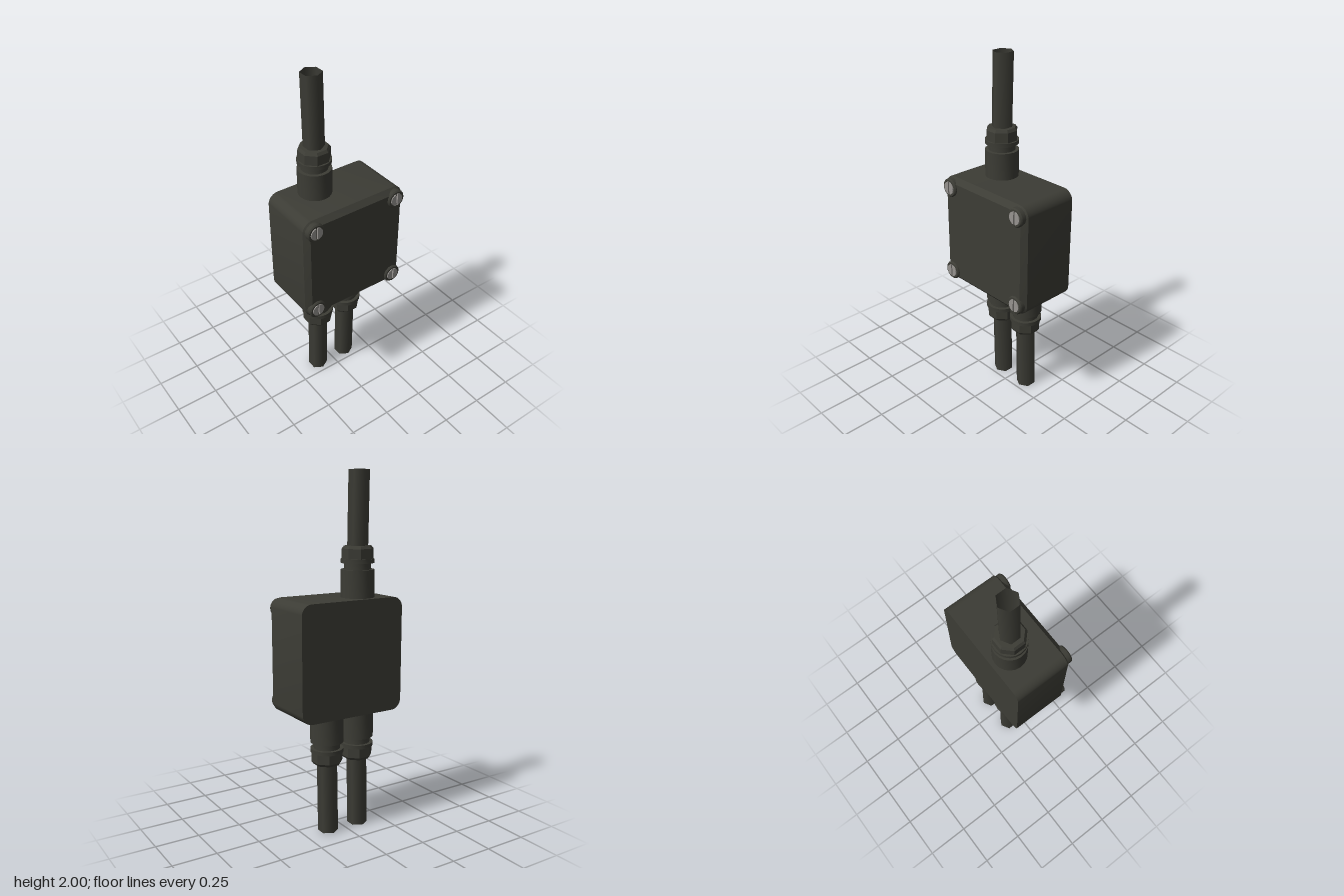
import * as THREE from 'three';
import { toCreasedNormals } from 'three/addons/utils/BufferGeometryUtils.js';

const casing = new THREE.MeshStandardMaterial({ color: 0x3c3c35 });
casing.name = 'dark grey plastic';
const cableSkin = new THREE.MeshStandardMaterial({ color: 0x3c3c35, side: THREE.DoubleSide });
cableSkin.name = 'dark grey cable';
const steel = new THREE.MeshStandardMaterial({ color: 0x96938f });
steel.name = 'screw steel';

function add(parent, name, geometry, material, x = 0, y = 0, z = 0) {
  const mesh = new THREE.Mesh(geometry, material);
  mesh.name = name;
  mesh.position.set(x, y, z);
  parent.add(mesh);
  return mesh;
}

// Square with rounded corners, centred on the origin
function roundedSquare(h, r) {
  const s = new THREE.Shape();
  const c = h - r;
  s.absarc(c, c, r, 0, Math.PI / 2);
  s.absarc(-c, c, r, Math.PI / 2, Math.PI);
  s.absarc(-c, -c, r, Math.PI, Math.PI * 1.5);
  s.absarc(c, -c, r, Math.PI * 1.5, Math.PI * 2);
  s.closePath();
  return s;
}

// Turned profile with crisp steps
function turned(points, sides, phase = 0, crease = 0.5) {
  const g = new THREE.LatheGeometry(points.map(p => new THREE.Vector2(...p)), sides, phase);
  return toCreasedNormals(g, crease);
}

// Cable gland and its open-ended cable, pointing up from the box
function makeGland(name) {
  const gland = new THREE.Group();
  gland.name = name;
  add(gland, 'collar', turned([
    [0.093, 1.3], [0.093, 1.473], [0.074, 1.473], [0.074, 1.508],
    [0.093, 1.508], [0.093, 1.53], [0, 1.53],
  ], 20), casing);
  add(gland, 'nut', turned([
    [0.088, 1.528], [0.088, 1.585], [0.077, 1.6], [0, 1.602],
  ], 8, Math.PI / 8), casing);

  // Six-sided cable leaning slightly backwards
  const g = new THREE.CylinderGeometry(0.057, 0.057, 0.41, 6, 1, true);
  g.translate(0, 1.795, 0);
  const p = g.attributes.position;
  for (let i = 0; i < p.count; i++) {
    if (p.getY(i) > 1.8) p.setZ(i, p.getZ(i) - 0.01);
  }
  add(gland, 'cable', g, cableSkin);
  return gland;
}

// Screw boss with a slotted head
function makeScrew(x, y) {
  const screw = new THREE.Group();
  screw.name = 'cornerScrew';
  screw.position.set(x, y, 0);
  const boss = turned([
    [0.053, 0.13], [0.053, 0.172], [0.047, 0.179], [0.038, 0.179], [0.038, 0.173], [0, 0.173],
  ], 16);
  boss.rotateX(Math.PI / 2);
  add(screw, 'boss', boss, casing);

  // Two half discs leave the slot between them
  const a = 0.13;
  const half = new THREE.Shape();
  half.absarc(0, 0, 0.036, -Math.PI / 2 + a, Math.PI / 2 - a);
  half.closePath();
  const head = new THREE.ExtrudeGeometry(half, { depth: 0.011, bevelEnabled: false, curveSegments: 8 });
  for (const turn of [0, Math.PI]) {
    add(screw, 'screwHeadHalf', head, steel, 0, 0, 0.172).rotation.z = turn;
  }
  return screw;
}

export function createModel() {
  const model = new THREE.Group();
  model.name = 'junctionBox';

  // Box body and chamfered lid
  const body = new THREE.ExtrudeGeometry(roundedSquare(0.321, 0.06),
    { depth: 0.315, bevelEnabled: false, curveSegments: 6 });
  add(model, 'boxBody', toCreasedNormals(body, 0.5), casing, 0, 1, -0.185);
  const lid = new THREE.ExtrudeGeometry(roundedSquare(0.291, 0.03), {
    depth: 0.01, bevelThickness: 0.027, bevelSize: 0.03, bevelSegments: 1, curveSegments: 6,
  });
  add(model, 'lid', toCreasedNormals(lid, 0.5), casing, 0, 1, 0.13);

  for (const x of [-0.26, 0.26]) {
    for (const y of [0.739, 1.261]) model.add(makeScrew(x, y));
  }

  // One gland on top, two hanging underneath
  const top = makeGland('topGland');
  top.position.set(-0.1, 0, -0.07);
  model.add(top);
  for (const [x, name] of [[-0.1, 'lowerRightGland'], [0.1, 'lowerLeftGland']]) {
    const low = makeGland(name);
    low.rotation.z = Math.PI;
    low.position.set(x, 2, -0.07);
    model.add(low);
  }
  return model;
}
